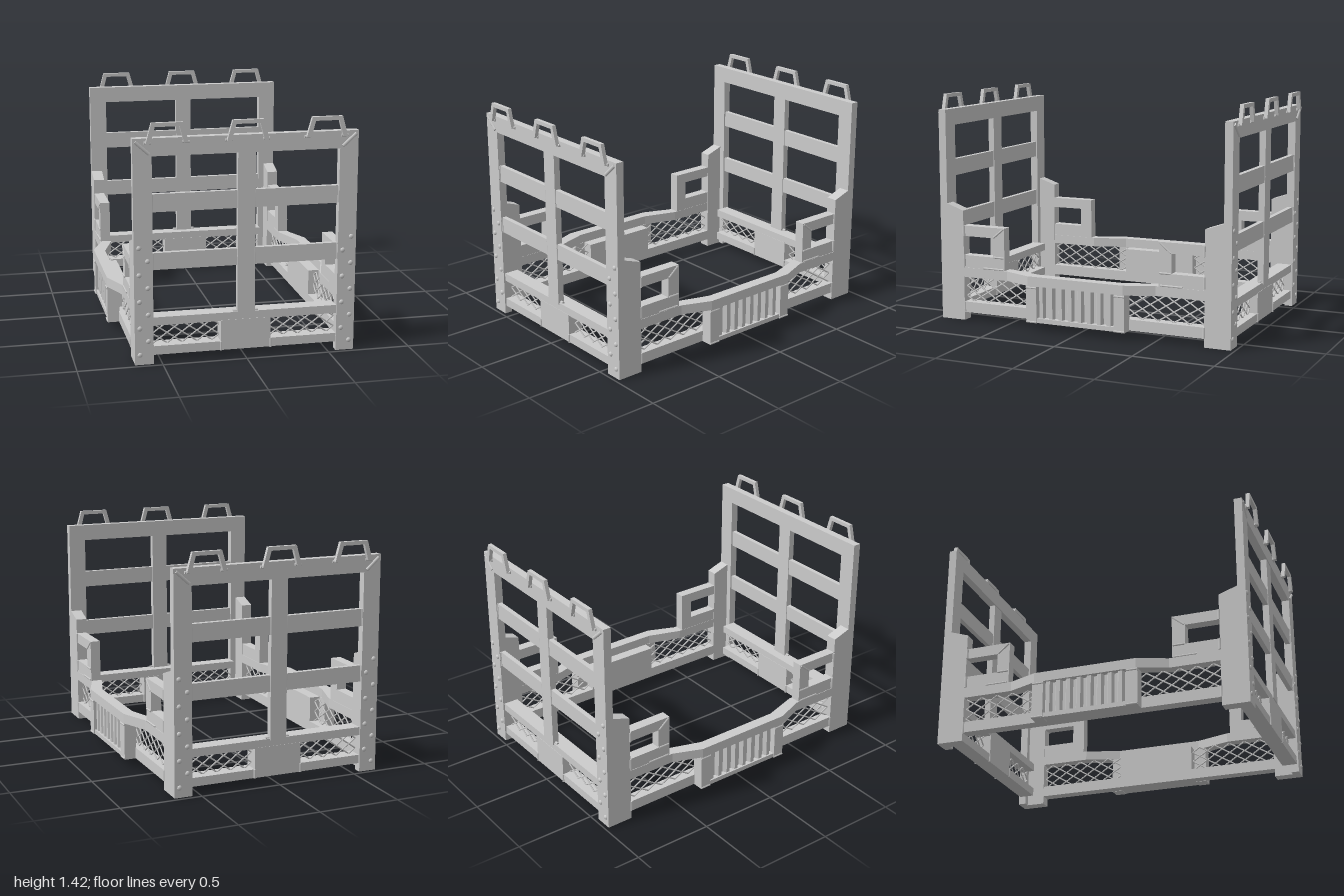
import * as THREE from 'three';
import { mergeGeometries } from 'three/addons/utils/BufferGeometryUtils.js';

const metal = new THREE.MeshStandardMaterial({ color: 0xcccccc, flatShading: true });
const smooth = new THREE.MeshStandardMaterial({ color: 0xcccccc });

function add(parent, name, geo, mat = metal) {
  const mesh = new THREE.Mesh(geo, mat);
  mesh.name = name;
  parent.add(mesh);
  return mesh;
}

// Box given by its extents
function box(parent, name, x0, x1, y0, y1, z0, z1) {
  const geo = new THREE.BoxGeometry(x1 - x0, y1 - y0, z1 - z0);
  geo.translate((x0 + x1) / 2, (y0 + y1) / 2, (z0 + z1) / 2);
  return add(parent, name, geo);
}

const toShape = (pts) => new THREE.Shape(pts.map(([a, b]) => new THREE.Vector2(a, b)));
const extrude = (shape, depth) => new THREE.ExtrudeGeometry(shape, { depth, bevelEnabled: false });

// Plan outline in (x, z) raised from y0 to y1
function plan(parent, name, pts, y0, y1) {
  const geo = extrude(toShape(pts.map(([x, z]) => [x, -z])), y1 - y0);
  geo.rotateX(-Math.PI / 2).translate(0, y0, 0);
  return add(parent, name, geo);
}

// Side outline in (z, y) spanning x0 to x1
function profile(parent, name, pts, x0, x1, hole) {
  const shape = toShape(pts);
  if (hole) shape.holes.push(toShape(hole));
  const geo = extrude(shape, x1 - x0);
  geo.rotateY(-Math.PI / 2).translate(x1, 0, 0);
  return add(parent, name, geo);
}

// Round rod between two points
function rod(a, b, r, sides = 5) {
  const p = new THREE.Vector3(...a), q = new THREE.Vector3(...b);
  const dir = q.clone().sub(p);
  const geo = new THREE.CylinderGeometry(r, r, dir.length(), sides, 1);
  geo.applyQuaternion(new THREE.Quaternion().setFromUnitVectors(new THREE.Vector3(0, 1, 0), dir.normalize()));
  return geo.translate((p.x + q.x) / 2, (p.y + q.y) / 2, (p.z + q.z) / 2);
}

const weld = (parent, a, b, r = 0.007) => add(parent, 'weldBead', rod(a, b, r, 6), smooth);

// Chain link mesh: zigzag wires; place(u, v, w) turns panel coordinates into a point
function chainLink(parent, u0, u1, v0, v1, cols, rows, place) {
  const du = (u1 - u0) / cols, dv = (v1 - v0) / rows, parts = [];
  for (let c = 0; c < cols; c++) {
    for (let r = 0; r < rows; r++) {
      const left = u0 + c * du, right = left + du;
      const even = (r + c) % 2 === 0;
      const w = even ? 0.002 : -0.002;
      parts.push(rod(place(even ? left : right, v0 + r * dv, w),
        place(even ? right : left, v0 + (r + 1) * dv, -w), 0.0048));
    }
  }
  add(parent, 'wireMesh', mergeGeometries(parts), smooth);
}

// Trapezoid lifting handle
function handle(parent, x) {
  const outer = [[-0.123, 1.305], [-0.09, 1.423], [0.09, 1.423], [0.123, 1.305]];
  const inner = [[0.096, 1.305], [0.07, 1.4], [-0.07, 1.4], [-0.096, 1.305]];
  const geo = extrude(toShape([...outer, ...inner]), 0.024);
  add(parent, 'liftingHandle', geo.translate(x, 0, 0.976));
  for (const s of [-1, 1]) {
    weld(parent, [x + s * 0.13, 1.308, 0.978], [x + s * 0.09, 1.308, 0.978], 0.009);
  }
}

// Tall end frame with its lower mesh panel
function endFrame() {
  const g = new THREE.Group();
  g.name = 'endFrame';
  const arch = toShape([[-0.66, 0], [-0.55, 0], [-0.55, 1.23], [0.55, 1.23],
    [0.55, 0], [0.66, 0], [0.66, 1.333], [-0.66, 1.333]]);
  add(g, 'archFrame', extrude(arch, 0.05).translate(0, 0, 0.925));
  box(g, 'centrePost', -0.052, 0.052, 0.27, 1.235, 0.93, 0.97);
  box(g, 'lowerTopRail', -0.55, 0.55, 0.23, 0.28, 0.87, 0.965);
  box(g, 'lowerBottomRail', -0.55, 0.55, 0.052, 0.105, 0.87, 0.965);
  box(g, 'centrePlate', -0.15, 0.15, 0.052, 0.235, 0.868, 0.967);

  for (const s of [-1, 1]) {
    const [a, b] = s < 0 ? [-0.55, -0.05] : [0.05, 0.55];
    for (const [y0, y1] of [[0.565, 0.665], [0.905, 1.01]]) {
      box(g, 'slat', a, b, y0, y1, 0.935, 0.965);
      for (const x of [a, b]) weld(g, [x, y0, 0.965], [x, y1, 0.965], 0.006);
    }
    const [m0, m1] = s < 0 ? [-0.55, -0.15] : [0.15, 0.55];
    chainLink(g, m0, m1, 0.105, 0.23, 9, 4, (u, v, w) => [u, v, 0.917 + w]);
    for (const z of [0.868, 0.967]) weld(g, [s * 0.15, 0.05, z], [s * 0.15, 0.105, z]);
    weld(g, [s * 0.05, 0.283, 0.95], [s * 0.075, 0.283, 0.95], 0.009);

    // Corner miter bead
    weld(g, [s * 0.645, 1.315, 0.975], [s * 0.565, 1.243, 0.975], 0.011);

    // Staggered rivets
    for (let i = 0; i < 9; i++) {
      const rivet = new THREE.SphereGeometry(0.015, 10, 6);
      rivet.scale(1, 1, 0.65).translate(s * (i % 2 ? 0.58 : 0.63), 0.06 + i * 0.08, 0.975);
      add(g, 'rivet', rivet, smooth);
    }
    // Sloped corner post behind the frame
    profile(g, 'cornerPost', [[0.81, 0], [0.926, 0], [0.926, 0.743], [0.81, 0.703]],
      s < 0 ? -0.66 : 0.588, s < 0 ? -0.588 : 0.66);
  }
  for (const x of [-0.465, 0, 0.465]) handle(g, x);
  return g;
}

// Long side with bowed top rail, mesh and corrugated centre
function sideFrame() {
  const g = new THREE.Group();
  g.name = 'sideFrame';
  plan(g, 'bowedTopRail', [[0.66, 0.82], [0.66, 0.5], [0.73, 0.32], [0.73, -0.32], [0.66, -0.5], [0.66, -0.82],
    [0.59, -0.82], [0.59, -0.5], [0.66, -0.28], [0.66, 0.28], [0.59, 0.5], [0.59, 0.82]], 0.28, 0.34);
  box(g, 'bottomRail', 0.59, 0.66, 0.052, 0.12, -0.82, 0.82);
  box(g, 'panelBacking', 0.59, 0.662, 0.054, 0.28, -0.25, 0.25);
  box(g, 'panelSill', 0.655, 0.725, 0.052, 0.08, -0.27, 0.27);

  // Corrugated sheet
  const pleats = [[0.66, -0.26]];
  for (let i = 0; i < 8; i++) {
    const z = -0.26 + i * 0.065;
    pleats.push([0.69, z], [0.69, z + 0.018], [0.715, z + 0.028], [0.715, z + 0.052]);
  }
  pleats.push([0.69, 0.26], [0.66, 0.26]);
  plan(g, 'corrugatedPanel', pleats, 0.08, 0.281);

  for (const s of [-1, 1]) {
    const span = (a, b) => (s < 0 ? [-b, -a] : [a, b]);
    box(g, 'panelPost', 0.655, 0.73, 0.05, 0.281, ...span(0.26, 0.33));
    for (const y of [0.056, 0.27]) weld(g, [0.728, y, s * 0.26], [0.728, y, s * 0.33]);
    chainLink(g, ...span(0.25, 0.81), 0.12, 0.28, 11, 5, (u, v, w) => [0.625 + w, v, u]);

    // Step bracket beside the corner post
    const outline = [[0.52, 0.34], [0.82, 0.34], [0.82, 0.608], [0.52, 0.608]];
    const hole = [[0.6, 0.42], [0.6, 0.542], [0.81, 0.542], [0.81, 0.42]];
    const flip = (pts) => pts.map(([z, y]) => [s * z, y]);
    profile(g, 'stepBracket', flip(outline), 0.592, 0.657, flip(hole));
    weld(g, [0.656, 0.602, s * 0.527], [0.656, 0.545, s * 0.596]);
    weld(g, [0.656, 0.345, s * 0.53], [0.656, 0.345, s * 0.67]);
    weld(g, [0.656, 0.42, s * 0.525], [0.656, 0.42, s * 0.596]);
    for (const [y0, y1] of [[0.055, 0.12], [0.35, 0.42], [0.542, 0.605]]) {
      weld(g, [0.657, y0, s * 0.808], [0.657, y1, s * 0.808], 0.009);
    }
  }
  return g;
}

export function createModel() {
  const model = new THREE.Group();
  model.name = 'stackingRack';
  for (const turn of [0, Math.PI]) {
    for (const part of [endFrame(), sideFrame()]) {
      part.rotation.y = turn;
      model.add(part);
    }
  }
  return model;
}
